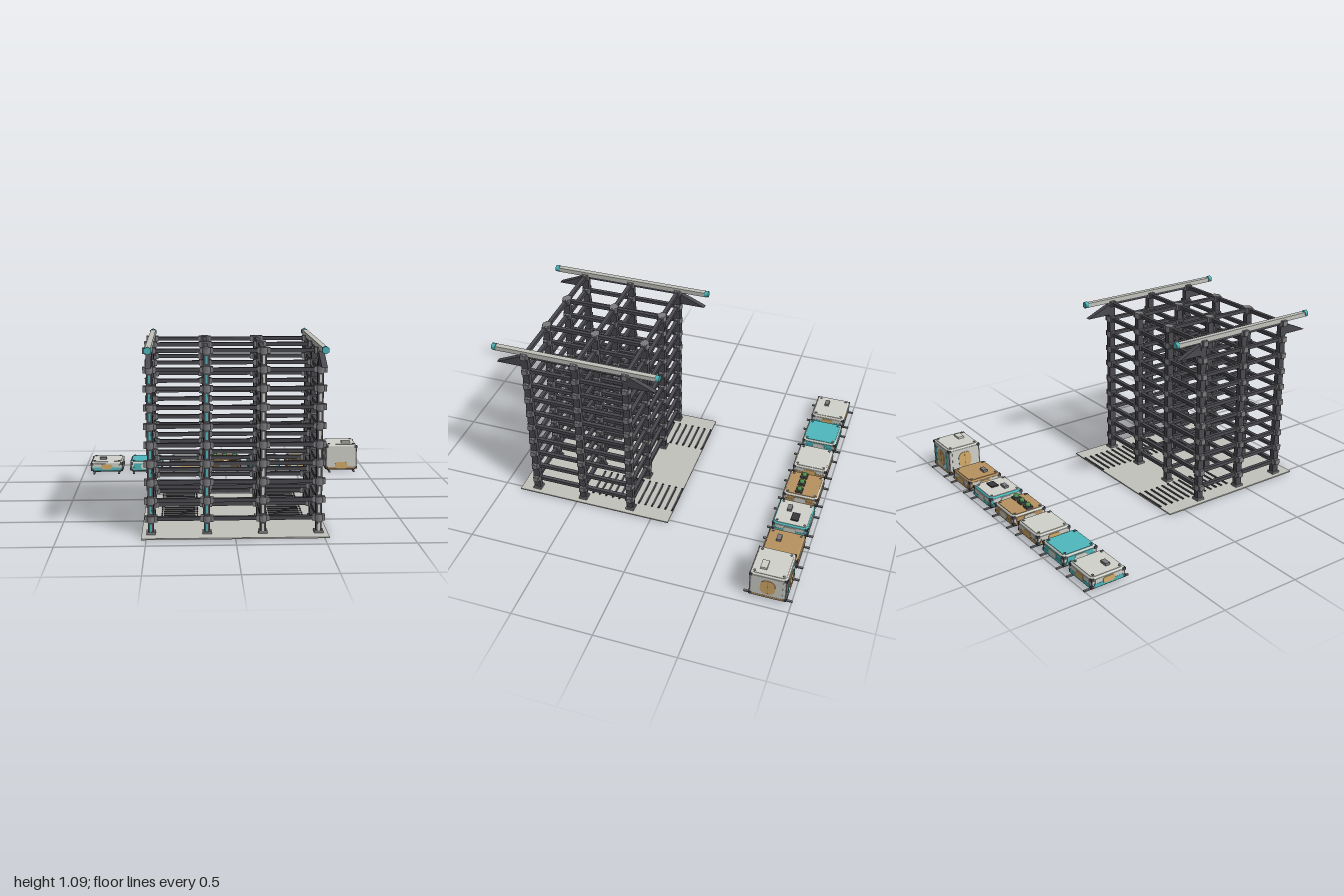
import * as THREE from 'three';
import { RoundedBoxGeometry } from 'three/addons/geometries/RoundedBoxGeometry.js';

const mat = (name, color) => Object.assign(new THREE.MeshStandardMaterial({ color }), { name });
const M = {
  dark: mat('dark steel', 0x4a4a50),
  grey: mat('joint grey', 0x7c7c80),
  plate: mat('concrete', 0xc3c3be),
  light: mat('off white', 0xd2d2cc),
  teal: mat('teal', 0x4fb9bd),
  tan: mat('tan', 0xb8925f),
  door: mat('sand', 0xd6ad6c),
  green: mat('leaf green', 0x4c9450),
  black: mat('charcoal', 0x38383e),
};

function add(parent, name, geo, material, x = 0, y = 0, z = 0) {
  const m = new THREE.Mesh(geo, material);
  m.name = name;
  m.position.set(x, y, z);
  parent.add(m);
  return m;
}
const box = (w, h, d) => new THREE.BoxGeometry(w, h, d);

// Thin rounded panel facing +z
function pill(w, h, r) {
  const s = new THREE.Shape();
  const a = w / 2 - r, b = h / 2 - r;
  s.absarc(a, b, r, 0, Math.PI / 2);
  s.absarc(-a, b, r, Math.PI / 2, Math.PI);
  s.absarc(-a, -b, r, Math.PI, Math.PI * 1.5);
  s.absarc(a, -b, r, Math.PI * 1.5, Math.PI * 2);
  return new THREE.ExtrudeGeometry(s, { depth: 0.004, bevelEnabled: false, curveSegments: 5 });
}

const XS = [-0.475, -0.158, 0.158, 0.475];
const ZS = [0.15, 0.468, 0.785];
const LEVELS = Array.from({ length: 10 }, (_, i) => 0.094 + i * 0.106);

function buildBase() {
  const g = new THREE.Group();
  g.name = 'base';
  add(g, 'basePlate', box(1.056, 0.008, 1.003), M.plate, 0, 0.004, 0.388);
  // Two ladders of slats with end bolts
  const slat = box(0.19, 0.007, 0.011), bolt = box(0.008, 0.007, 0.011);
  for (const x of [-0.315, 0.315]) {
    for (let i = 0; i < 13; i++) {
      const z = -0.107 + i * 0.0445;
      add(g, 'slat', slat, M.dark, x, 0.011, z);
      for (const s of [-1, 1]) add(g, 'slatBolt', bolt, M.black, x + s * 0.106, 0.011, z);
    }
  }
  return g;
}

function buildFrame() {
  const g = new THREE.Group();
  g.name = 'towerFrame';
  const column = box(0.034, 1.045, 0.042);
  const foot = box(0.052, 0.014, 0.054);
  const joint = new THREE.CylinderGeometry(0.029, 0.029, 0.036, 8).rotateY(Math.PI / 8);
  const strip = box(0.012, 0.046, 0.004);
  const beamX = box(0.95, 0.022, 0.024), beamZ = box(0.024, 0.022, 0.635);
  const collarX = box(0.02, 0.034, 0.034);

  // Columns with feet, joints, and front marker strips
  for (const x of XS) for (const z of ZS) {
    add(g, 'column', column, M.dark, x, 0.53, z);
    add(g, 'columnFoot', foot, M.grey, x, 0.015, z);
    for (const y of LEVELS) {
      add(g, 'joint', joint, M.grey, x, y, z);
      if (z === ZS[2]) add(g, 'columnStrip', strip, x < 0 ? M.teal : M.light, x, y - 0.05, z + 0.022);
      for (const s of [-1, 1]) {
        if (Math.abs(x + s * 0.03) < 0.51) add(g, 'beamCollar', collarX, M.grey, x + s * 0.026, y, z);
      }
    }
  }
  // Floor beams
  for (const y of LEVELS) {
    for (const z of ZS) add(g, 'crossBeam', beamX, M.dark, 0, y, z);
    for (const x of XS) add(g, 'depthBeam', beamZ, M.dark, x, y, 0.4675);
  }
  return g;
}

function buildCraneRails() {
  const g = new THREE.Group();
  g.name = 'craneRails';
  // Triangular bracket in the z-y plane, extruded across x
  const tri = new THREE.Shape([[0, 0], [0.182, 0], [0, 0.08]].map(p => new THREE.Vector2(...p)));
  const bracket = new THREE.ExtrudeGeometry(tri, { depth: 0.032, bevelEnabled: false })
    .translate(0, 0, -0.016).rotateY(-Math.PI / 2);
  const cap = new THREE.CylinderGeometry(0.022, 0.022, 0.024, 6).rotateX(Math.PI / 2);
  for (const x of [XS[0], XS[3]]) {
    add(g, 'rail', box(0.032, 0.028, 1.03), M.plate, x, 1.068, 0.468);
    for (const z of [-0.044, 0.98]) add(g, 'railCap', cap, M.teal, x, 1.07, z);
    add(g, 'frontBracket', bracket, M.dark, x, 0.973, 0.785);
    add(g, 'backBracket', bracket, M.dark, x, 0.973, 0.15).rotation.y = Math.PI;
  }
  return g;
}

// Habitat pod on two skids
function buildPod({ x, h = 0.07, shell, top, band, wall, door }) {
  const g = new THREE.Group();
  g.name = 'pod';
  g.position.set(x, 0, -0.858);
  const y0 = 0.012, yTop = y0 + h, W = 0.222, tall = h > 0.1;
  add(g, 'podShell', new RoundedBoxGeometry(W, h, W, 3, 0.014), M[shell], 0, y0 + h / 2, 0);
  add(g, 'podTop', pill(0.205, 0.205, 0.02).rotateX(-Math.PI / 2), M[top], 0, yTop - 0.002, 0);
  add(g, 'podFloor', box(0.2, 0.006, 0.2), M.black, 0, 0.011, 0);
  // Skids
  for (const s of [-1, 1]) add(g, 'skid', box(0.012, 0.009, 0.292), M.grey, s * 0.087, 0.0045, 0);
  // Walls: panel, lower band and door on each side
  for (let i = 0; i < 4; i++) {
    const side = new THREE.Group();
    side.name = 'podSide';
    side.rotation.y = i * Math.PI / 2;
    g.add(side);
    add(side, 'wallPanel', box(0.176, h - 0.026, 0.004), M[wall], 0, y0 + h / 2, W / 2 + 0.001);
    const bh = tall ? 0.014 : 0.024;
    add(side, 'lowerBand', box(0.19, bh, 0.004), M[band], 0, y0 + 0.006 + bh / 2, W / 2 + 0.002);
    const front = tall && i === 0;
    const p = front ? pill(0.09, 0.05, 0.022) : tall ? pill(0.09, 0.107, 0.04) : pill(0.078, 0.036, 0.016);
    add(side, 'doorPanel', p, M[door], 0, front ? 0.042 : y0 + h / 2, W / 2 + 0.002);
    if (tall && !front) add(side, 'doorSeam', box(0.003, 0.1, 0.002), M.tan, 0, y0 + h / 2, W / 2 + 0.006);
    if (tall && i === 2) {
      for (const s of [-1, 1]) add(side, 'tealStripe', box(0.024, h - 0.05, 0.004), M.teal, s * 0.072, y0 + h / 2, W / 2 + 0.002);
    }
  }
  // Corner brackets, edge posts and roof bolts
  const corner = box(0.02, 0.017, 0.02);
  const bolt = new THREE.CylinderGeometry(0.008, 0.008, 0.006, 8);
  for (const sx of [-1, 1]) for (const sz of [-1, 1]) {
    for (const y of [y0 + 0.013, yTop - 0.015]) add(g, 'cornerBracket', corner, M.dark, sx * 0.103, y, sz * 0.103);
    add(g, 'edgePost', box(0.014, h - 0.02, 0.014), M.grey, sx * 0.103, y0 + h / 2, sz * 0.103);
    add(g, 'roofBolt', bolt, M.grey, sx * 0.087, yTop + 0.003, sz * 0.087);
  }
  return g;
}

export function createModel() {
  const model = new THREE.Group();
  model.name = 'stackingTower';
  model.add(buildBase(), buildFrame(), buildCraneRails());

  const specs = [
    { x: -0.838, shell: 'light', top: 'light', wall: 'light', band: 'teal', door: 'door' },
    { x: -0.559, shell: 'light', top: 'teal', wall: 'teal', band: 'teal', door: 'light' },
    { x: -0.279, shell: 'light', top: 'light', wall: 'light', band: 'tan', door: 'door' },
    { x: 0, shell: 'light', top: 'tan', wall: 'tan', band: 'tan', door: 'light' },
    { x: 0.279, shell: 'teal', top: 'light', wall: 'light', band: 'teal', door: 'light' },
    { x: 0.553, shell: 'tan', top: 'tan', wall: 'light', band: 'tan', door: 'door' },
    { x: 0.829, h: 0.18, shell: 'light', top: 'light', wall: 'light', band: 'tan', door: 'door' },
  ];
  const pods = specs.map(buildPod);
  model.add(...pods);

  // Roof equipment
  const unit = box(0.048, 0.016, 0.028);
  for (const i of [0, 4, 5]) add(pods[i], 'roofUnit', unit, M.grey, -0.03, 0.092, 0.034);
  add(pods[4], 'solarPanel', box(0.066, 0.009, 0.048), M.black, 0.035, 0.088, -0.016);
  add(pods[6], 'roofUnit', box(0.062, 0.016, 0.04), M.light, 0.037, 0.2, 0.04);
  for (const x of [-0.07, 0, 0.07]) {
    add(pods[3], 'planter', box(0.044, 0.014, 0.044), M.dark, x, 0.09, 0.016);
    add(pods[3], 'plant', new THREE.IcosahedronGeometry(0.017, 1), M.green, x, 0.104, 0.016);
  }
  return model;
}
